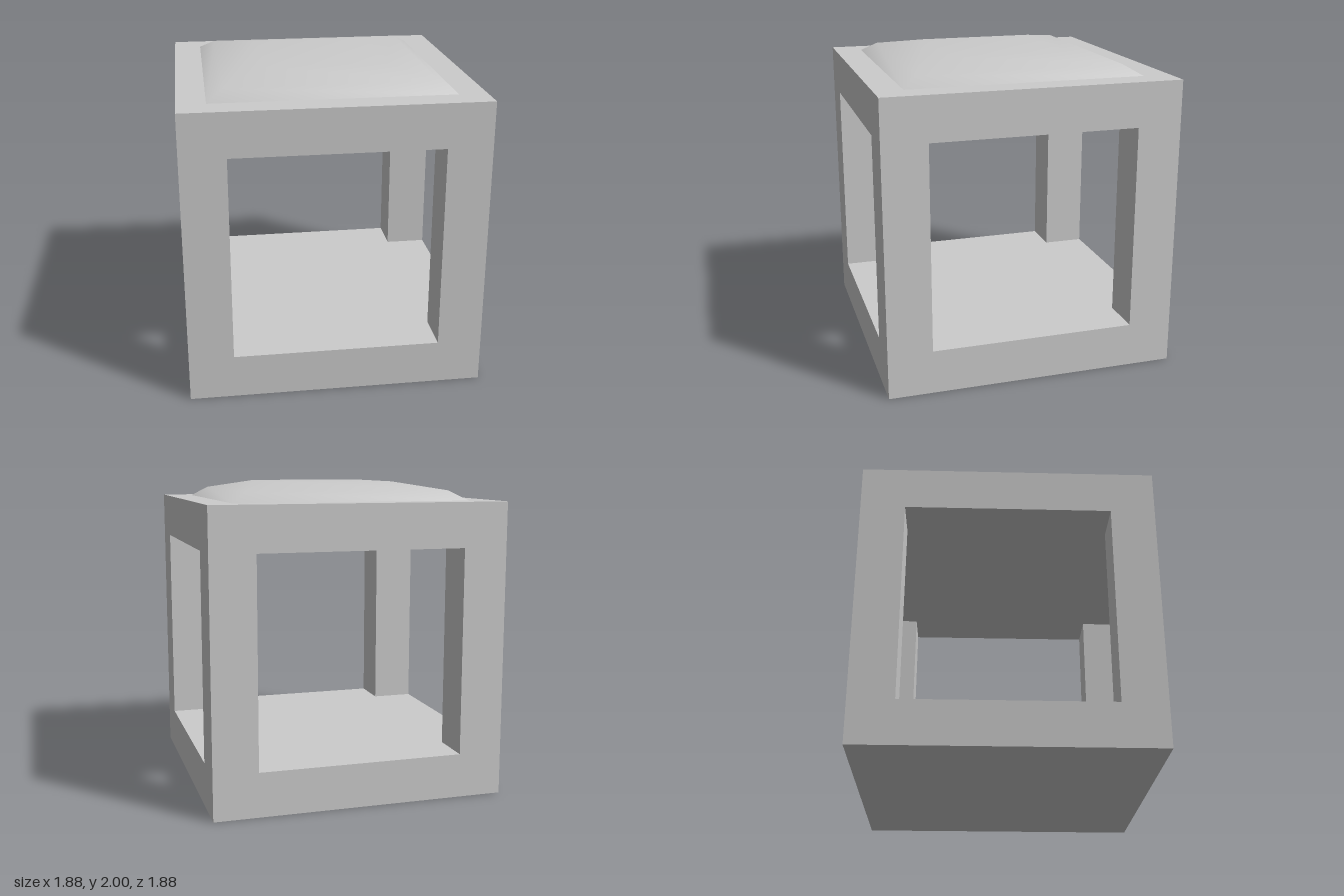
import * as THREE from 'three';

const material = new THREE.MeshStandardMaterial({ color: 0xcccccc });

function addPart(group, name, geometry, x, y, z) {
  const mesh = new THREE.Mesh(geometry, material);
  mesh.name = name;
  mesh.position.set(x, y, z);
  group.add(mesh);
}

export function createModel() {
  const group = new THREE.Group();
  group.name = 'openCubeFrame';

  const half = 0.94;   // half width of the cube
  const bar = 0.283;   // thickness of slabs and posts
  const top = 1.885;   // height of the cube
  const width = half * 2;

  // Solid slabs below and above the four window openings
  const slab = new THREE.BoxGeometry(width, bar, width);
  addPart(group, 'floorSlab', slab, 0, bar / 2, 0);
  addPart(group, 'roofSlab', slab, 0, top - bar / 2, 0);

  // Square corner posts
  const post = new THREE.BoxGeometry(bar, top - 2 * bar, bar);
  const offset = half - bar / 2;
  for (const sx of [-1, 1]) {
    for (const sz of [-1, 1]) {
      const name = (sz > 0 ? 'front' : 'back') + (sx > 0 ? 'Left' : 'Right') + 'Post';
      addPart(group, name, post, sx * offset, top / 2, sz * offset);
    }
  }

  // Shallow square cushion on the roof: four-sided lathe with smooth normals
  const profile = [[0.76, 0], [0.66, 0.062], [0.38, 0.115], [0, 0.115]]
    .map(([r, y]) => new THREE.Vector2(r * Math.SQRT2, y));
  addPart(group, 'roofCushion', new THREE.LatheGeometry(profile, 4, Math.PI / 4), 0, top, 0);

  return group;
}
